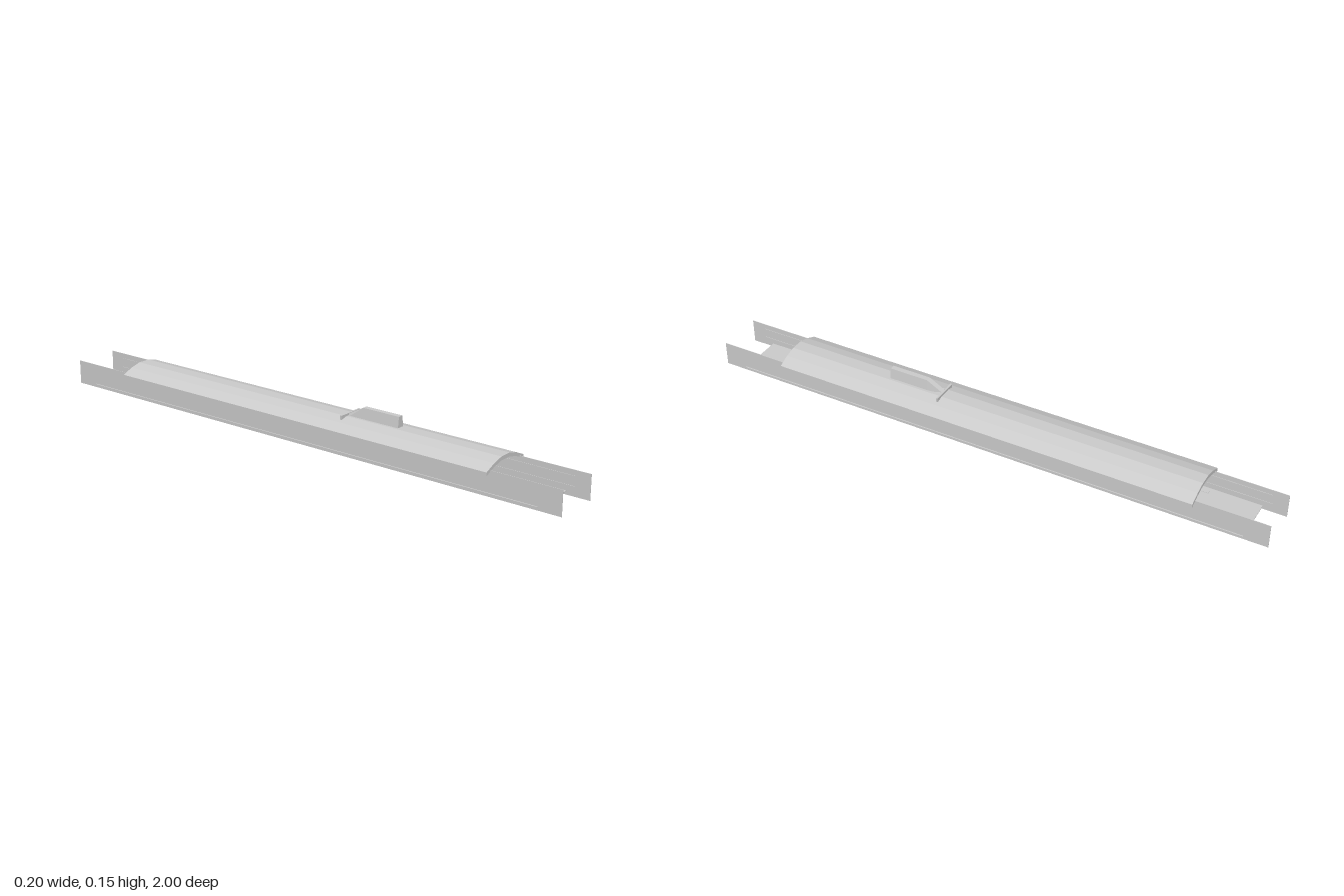
import * as THREE from 'three';

const material = new THREE.MeshStandardMaterial({ color: 0xcccccc, side: THREE.DoubleSide, flatShading: true });

export function createModel() {
  const model = new THREE.Group();

  function add(name, geometry, x = 0, y = 0, z = 0) {
    const mesh = new THREE.Mesh(geometry, material);
    mesh.name = name;
    mesh.position.set(x, y, z);
    model.add(mesh);
    return mesh;
  }
  // Box given by its limits on each axis
  function box(name, x0, x1, y0, y1, z0, z1) {
    return add(name, new THREE.BoxGeometry(x1 - x0, y1 - y0, z1 - z0),
      (x0 + x1) / 2, (y0 + y1) / 2, (z0 + z1) / 2);
  }
  // Outline in x and y, extruded along z
  function extrudeZ(points, z0, z1) {
    const shape = new THREE.Shape(points.map(([x, y]) => new THREE.Vector2(x, y)));
    const geometry = new THREE.ExtrudeGeometry(shape, { depth: z1 - z0, bevelEnabled: false });
    return geometry.translate(0, 0, z0);
  }

  // Platform floor
  box('floor', -0.085, 0.085, 0.0095, 0.0125, -0.92, 0.92);

  // Long side screens with inner ledges and edge strips
  for (const s of [-1, 1]) {
    box('sideScreen', s * 0.0805 - 0.0008, s * 0.0805 + 0.0008, 0, 0.084, -1, 1);
    for (const y of [0.03, 0.063]) {
      box('screenRail', s * 0.079 - 0.001, s * 0.079 + 0.001, y, y + 0.003, -0.95, 0.95);
    }
    box('edgeStrip', s * 0.062 - 0.009, s * 0.062 + 0.009, 0.0125, 0.0138, -0.75, 0.75);
  }

  // Arched canopy of even thickness
  const half = [[0.101, 0.083], [0.061, 0.1005], [0.022, 0.1105]];
  const top = [...half, ...half.map(([x, y]) => [-x, y]).reverse()];
  const bottom = top.map(([x, y]) => [x, y - 0.0125]).reverse();
  add('canopy', extrudeZ([...top, ...bottom], -0.755, 0.755));

  // Tapered roof fin: the top edge slopes down at the back
  const fin = extrudeZ([[-0.014, 0.106], [0.014, 0.106], [0.009, 0.147], [-0.009, 0.147]], 0.175, 0.37);
  const p = fin.attributes.position;
  for (let i = 0; i < p.count; i++) {
    if (p.getY(i) > 0.14 && p.getZ(i) < 0.2) p.setY(i, 0.117);
  }
  // The slope starts partway along, so the flat part is a separate block
  const flat = extrudeZ([[-0.014, 0.106], [0.014, 0.106], [0.009, 0.147], [-0.009, 0.147]], 0.23, 0.37);
  for (let i = 0; i < p.count; i++) if (p.getZ(i) > 0.3) p.setZ(i, 0.23);
  fin.computeVertexNormals();
  add('finSlope', fin);
  add('finBody', flat);
  box('roofCrossPlate', -0.047, 0.047, 0.095, 0.118, 0.168, 0.174);

  // Enclosed core below the canopy
  box('coreUpper', -0.053, 0.053, 0.057, 0.092, -0.17, 0.17);
  box('coreLower', -0.047, 0.047, 0.0125, 0.057, -0.165, 0.165);
  for (const end of [-1, 1]) {
    for (const s of [-1, 1]) {
      box('corePost', s * 0.025 - 0.003, s * 0.025 + 0.003, 0.03, 0.057, end * 0.175 - 0.01, end * 0.175 + 0.01);
      box('bench', s * 0.042 - 0.005, s * 0.042 + 0.005, 0.0125, 0.024, end * 0.45 - 0.2, end * 0.45 + 0.2);
    }
  }

  // Row of pins under the floor
  for (let i = 0; i < 6; i++) {
    add('floorPin', new THREE.CylinderGeometry(0.002, 0.002, 0.011, 8), 0, 0.0055, 0.1 - i * 0.048);
  }
  return model;
}
